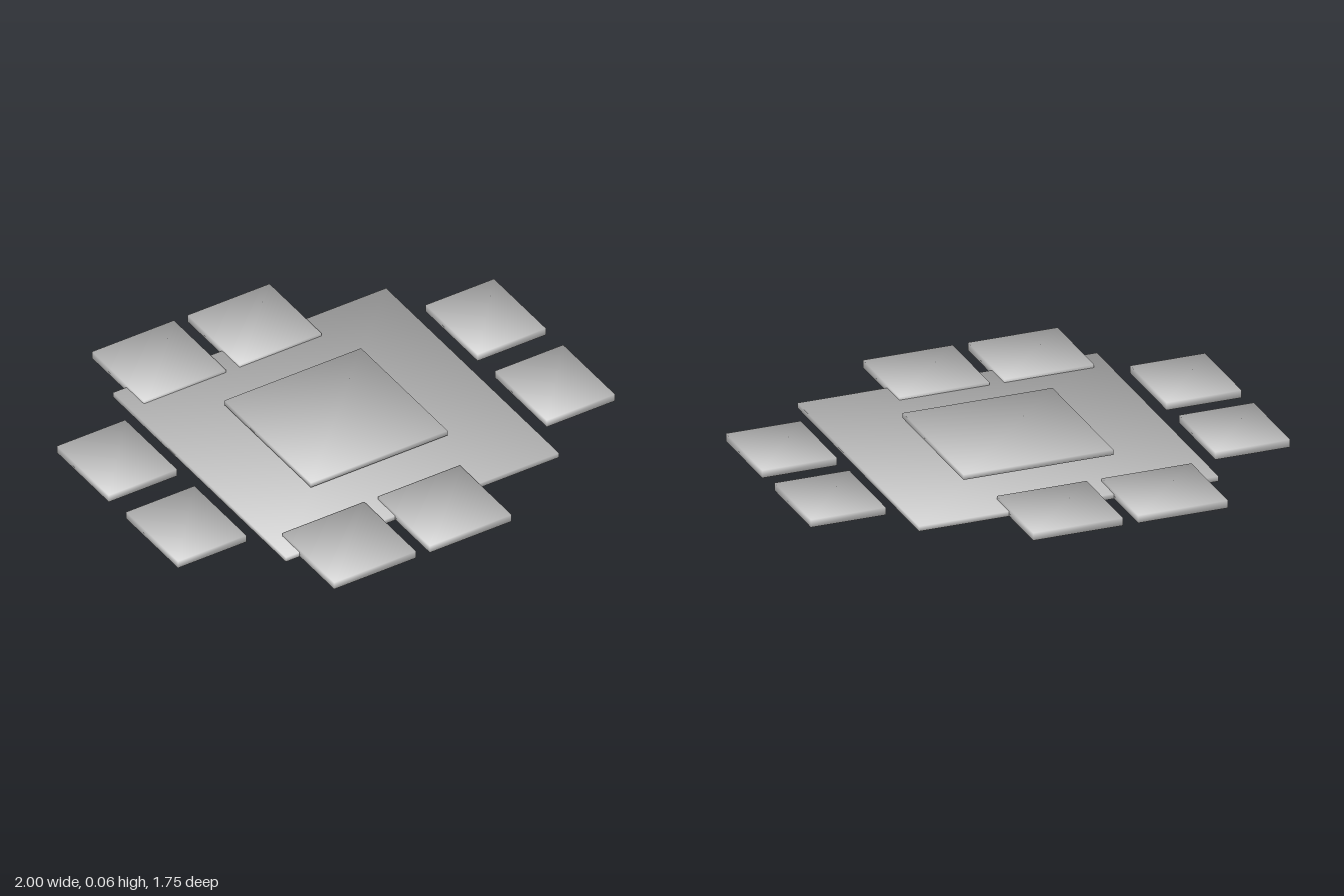
import * as THREE from 'three';
import { mergeVertices } from 'three/addons/utils/BufferGeometryUtils.js';

// thin slab whose corners share one smooth outward normal
function slabGeometry(w, h, d) {
  let geo = new THREE.BoxGeometry(w, h, d);
  geo.deleteAttribute('uv');
  geo.deleteAttribute('normal');
  geo = mergeVertices(geo);
  const p = geo.attributes.position;
  const normals = new Float32Array(p.count * 3);
  const n = new THREE.Vector3();
  for (let i = 0; i < p.count; i++) {
    n.set(Math.sign(p.getX(i)), Math.sign(p.getY(i)), Math.sign(p.getZ(i))).normalize();
    n.toArray(normals, i * 3);
  }
  geo.setAttribute('normal', new THREE.BufferAttribute(normals, 3));
  return geo;
}

export function createModel() {
  const group = new THREE.Group();
  const grey = new THREE.MeshStandardMaterial({ color: 0xc4c4c4 });
  grey.name = 'light grey';

  function slab(name, w, d, x, z, bottom, top) {
    const mesh = new THREE.Mesh(slabGeometry(w, top - bottom, d), grey);
    mesh.name = name;
    mesh.position.set(x, (bottom + top) / 2, z);
    group.add(mesh);
  }

  // floor rug and the table top floating above it
  slab('rug', 1.25, 1.25, 0, 0, 0, 0.021);
  slab('tableTop', 0.625, 0.625, 0, 0, 0.034, 0.056);

  for (const s of [-1, 1]) {
    // seats along the front and back, set off towards the right
    for (const x of [-0.375, 0.0625]) {
      slab(s > 0 ? 'frontSeat' : 'backSeat', 0.375, 0.375, x, s * 0.6875, 0.002, 0.034);
    }
    // narrower seats at both sides
    for (const z of [-0.25, 0.25]) {
      slab(s > 0 ? 'leftSeat' : 'rightSeat', 0.3125, 0.375, s * 0.84375, z, 0.002, 0.034);
    }
  }
  return group;
}
